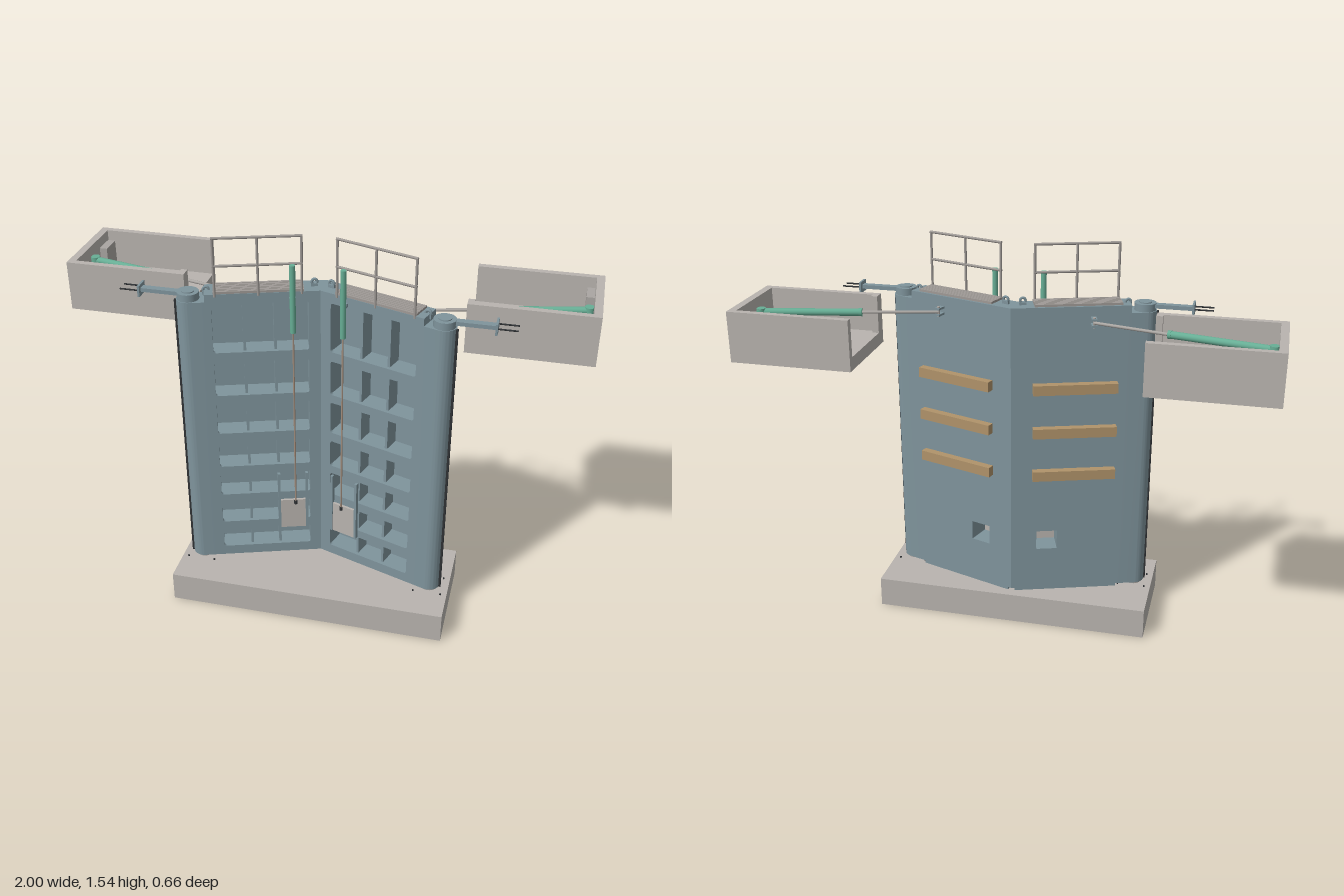
import * as THREE from 'three';
import { toCreasedNormals } from 'three/addons/utils/BufferGeometryUtils.js';

const mat = (name, color) => {
  const m = new THREE.MeshStandardMaterial({ color });
  m.name = name;
  return m;
};

export function createModel() {
  const concrete = mat('concrete', 0xb9b4af);
  const paint = mat('gatePaint', 0x7f949c);
  const green = mat('hydraulicGreen', 0x67ae95);
  const timber = mat('timber', 0xb0936a);
  const rubber = mat('rubber', 0x2f3235);
  const steel = mat('steel', 0xaaa6a2);
  const railing = mat('railingSteel', 0x9f9a96);
  const brass = mat('stemBronze', 0xa48f7e);

  const add = (parent, name, geo, m) => {
    const mesh = new THREE.Mesh(geo, m);
    mesh.name = name;
    parent.add(mesh);
    return mesh;
  };
  // box given by its limits
  const box = (p, name, m, x0, x1, y0, y1, z0, z1) => {
    const b = add(p, name, new THREE.BoxGeometry(x1 - x0, y1 - y0, z1 - z0), m);
    b.position.set((x0 + x1) / 2, (y0 + y1) / 2, (z0 + z1) / 2);
    return b;
  };
  // round bar between two points
  const bar = (p, name, m, a, b, r, seg = 16) => {
    const A = new THREE.Vector3(...a), B = new THREE.Vector3(...b);
    const c = add(p, name, new THREE.CylinderGeometry(r, r, A.distanceTo(B), seg), m);
    c.position.copy(A).lerp(B, 0.5);
    c.quaternion.setFromUnitVectors(new THREE.Vector3(0, 1, 0), B.sub(A).normalize());
    return c;
  };
  // plan shape (x, z) raised from y0 to y1
  const raise = (p, name, m, shape, y0, y1) => {
    const g = new THREE.ExtrudeGeometry(shape, { depth: y1 - y0, bevelEnabled: false, curveSegments: 20 });
    g.rotateX(Math.PI / 2);
    g.translate(0, y1, 0);
    return add(p, name, toCreasedNormals(g, 0.6), m);
  };
  const roundRect = (x0, x1, y0, y1, r) => {
    const s = new THREE.Path();
    s.absarc(x1 - r, y1 - r, r, 0, Math.PI / 2);
    s.absarc(x0 + r, y1 - r, r, Math.PI / 2, Math.PI);
    s.absarc(x0 + r, y0 + r, r, Math.PI, Math.PI * 1.5);
    s.absarc(x1 - r, y0 + r, r, Math.PI * 1.5, Math.PI * 2);
    s.closePath();
    return s;
  };
  // upright plate with holes, from z0 to z1
  const plate = (p, name, m, x0, x1, y0, y1, z0, z1, holes) => {
    const s = new THREE.Shape([[x0, y0], [x1, y0], [x1, y1], [x0, y1]].map(q => new THREE.Vector2(...q)));
    s.holes.push(...holes);
    const g = new THREE.ExtrudeGeometry(s, { depth: z1 - z0, bevelEnabled: false, curveSegments: 5 });
    g.translate(0, 0, z0);
    return add(p, name, g, m);
  };

  const angle = Math.atan(1 / 3), T = 0.045, BOT = 0.133, TOP = 1.32;
  const U0 = 0.057, U1 = 0.415, HEEL = 0.495;
  const rows = [[0.175, 0.265], [0.3, 0.395], [0.435, 0.535], [0.57, 0.685], [0.725, 0.86], [0.895, 1.04], [1.08, 1.28]];

  function buildLeaf() {
    const leaf = new THREE.Group();
    leaf.name = 'gateLeaf';
    // mitre post, cut on the centre plane
    const e = T * Math.tan(angle);
    const post = new THREE.Shape([[-e, -T], [U0, -T], [U0, T], [e, T]].map(q => new THREE.Vector2(...q)));
    raise(leaf, 'mitrePost', paint, post, BOT, TOP);
    // rounded heel post
    const heel = new THREE.Shape();
    heel.moveTo(U1, -T);
    heel.lineTo(HEEL, -T);
    heel.absarc(HEEL, 0, T, -Math.PI / 2, Math.PI / 2);
    heel.lineTo(U1, T);
    heel.closePath();
    raise(leaf, 'heelPost', paint, heel, BOT, 1.29);
    box(leaf, 'heelTop', paint, U1, 0.437, 1.29, TOP, -T, T);
    // skins and framing
    plate(leaf, 'backSkin', paint, U0, U1, BOT, TOP, -T, -T + 0.01, [roundRect(0.087, 0.17, 0.31, 0.39, 0.002)]);
    plate(leaf, 'frontFlange', paint, U0, U1, BOT, TOP, 0.033, T,
      rows.map(([a, b]) => roundRect(U0 + 0.001, U1 - 0.001, a, b, 0.01)));
    for (let i = 0; i <= rows.length; i++) {
      const a = i ? rows[i - 1][1] : BOT, b = i < rows.length ? rows[i][0] : TOP;
      box(leaf, 'girder', paint, U0, U1, a, b, -0.035, 0.033);
    }
    for (const u of [0.182, 0.297]) box(leaf, 'diaphragm', paint, u - 0.005, u + 0.005, BOT, 1.3, -0.035, 0.031);
    // bottom edge and its seal
    box(leaf, 'bottomEdge', paint, 0, U1, 0.122, BOT, -T, 0);
    box(leaf, 'bottomSeal', rubber, 0.005, U1, 0.122, BOT, 0, 0.012);
    // sluice culvert, gate, guides and lifting stem
    plate(leaf, 'sluiceCulvert', paint, 0.081, 0.176, 0.304, 0.396, -0.036, 0.046, [roundRect(0.087, 0.17, 0.31, 0.39, 0.002)]);
    box(leaf, 'sluiceGate', concrete, 0.077, 0.179, 0.265, 0.4, 0.046, 0.056);
    for (const u of [0.073, 0.183]) box(leaf, 'sluiceGuide', paint, u - 0.005, u + 0.005, 0.265, 0.53, T, 0.06);
    bar(leaf, 'stemLug', rubber, [0.118, 0.383, 0.058], [0.118, 0.398, 0.058], 0.007);
    bar(leaf, 'sluiceStem', brass, [0.118, 0.39, 0.058], [0.118, 1.18, 0.058], 0.0035, 10);
    bar(leaf, 'sluiceCylinder', green, [0.118, 1.16, 0.058], [0.118, 1.43, 0.058], 0.011);
    box(leaf, 'cylinderBracket', paint, 0.105, 0.131, 1.285, 1.3, T, 0.058);
    // timber fenders
    for (const y of [0.645, 0.825, 1.003]) box(leaf, 'fender', timber, 0.068, 0.392, y - 0.02, y + 0.02, -0.075, -T);
    // walkway grating
    for (let i = 0; i < 7; i++) {
      const w = -0.032 + i * 0.0118;
      box(leaf, 'gratingSlat', railing, 0.075, 0.405, TOP, 1.329, w - 0.0045, w + 0.0045);
    }
    for (const u of [0.078, 0.16, 0.24, 0.32, 0.402])
      box(leaf, 'gratingCrossbar', railing, u - 0.003, u + 0.003, TOP, 1.327, -0.036, 0.043);
    // handrail
    for (const u of [0.083, 0.241, 0.399]) bar(leaf, 'railPost', railing, [u, 1.31, 0.043], [u, 1.538, 0.043], 0.005, 10);
    for (const y of [1.43, 1.536]) bar(leaf, 'rail', railing, [0.079, y, 0.043], [0.403, y, 0.043], 0.005, 10);
    // lifting eyes
    for (const [u, y] of [[0.034, 1.337], [0.43, 1.322]]) {
      box(leaf, 'eyeFoot', paint, u - 0.013, u + 0.013, y - 0.02, y - 0.006, -0.006, 0.006);
      add(leaf, 'liftingEye', new THREE.TorusGeometry(0.01, 0.005, 8, 18), paint).position.set(u, y, 0);
    }
    // clevis for the operating ram
    for (const y of [1.253, 1.277]) box(leaf, 'clevis', paint, 0.283, 0.303, y - 0.004, y + 0.004, -0.08, -T);
    bar(leaf, 'clevisPin', steel, [0.293, 1.245, -0.07], [0.293, 1.285, -0.07], 0.006);
    leaf.position.z = -0.007;
    leaf.rotation.y = -angle;
    return leaf;
  }

  function buildHalf() {
    const half = new THREE.Group();
    half.add(buildLeaf());
    // heel seal, pintle and top anchorage
    box(half, 'heelSeal', rubber, 0.509, 0.52, BOT, 1.285, 0.154, 0.166);
    for (const x of [0.415, 0.525]) for (const z of [0.1, 0.2])
      bar(half, 'pintleBolt', rubber, [x, 0.12, z], [x, 0.127, z], 0.004, 6);
    bar(half, 'pintle', steel, [0.47, 0.12, 0.15], [0.47, 0.135, 0.15], 0.035, 24);
    bar(half, 'topCollar', paint, [0.47, 1.288, 0.15], [0.47, 1.318, 0.15], 0.041, 32);
    bar(half, 'topPin', paint, [0.47, 1.318, 0.15], [0.47, 1.322, 0.15], 0.024, 24);
    box(half, 'anchorArm', paint, 0.5, 0.648, 1.3, 1.315, 0.135, 0.162);
    box(half, 'anchorPlate', paint, 0.647, 0.655, 1.285, 1.328, 0.12, 0.177);
    for (const z of [0.128, 0.169]) bar(half, 'anchorRod', rubber, [0.655, 1.308, z], [0.725, 1.308, z], 0.003, 10);
    // open machinery pit, slotted on the gate side
    const pit = new THREE.Group();
    pit.name = 'machineryPit';
    box(pit, 'pitFloor', concrete, 0.53, 1, 1.125, 1.175, -0.33, 0.025);
    box(pit, 'pitBackWall', concrete, 0.53, 1, 1.175, TOP, -0.33, -0.305);
    box(pit, 'pitFrontWall', concrete, 0.53, 1, 1.175, TOP, 0, 0.025);
    box(pit, 'pitEndWall', concrete, 0.97, 1, 1.175, TOP, -0.305, 0);
    box(pit, 'pitGateWall', concrete, 0.53, 0.555, 1.175, TOP, -0.02, 0);
    box(pit, 'controlBox', steel, 0.94, 0.97, 1.175, 1.28, -0.3, -0.215);
    box(pit, 'ramPedestal', paint, 0.925, 0.97, 1.175, 1.25, -0.16, -0.112);
    half.add(pit);
    // operating ram from pit to leaf
    const y = 1.265, a = [0.955, y, -0.137], b = [0.58, y, -0.054], c = [0.3, y, 0.017];
    bar(half, 'ramPivot', green, [a[0], 1.248, a[2]], [a[0], 1.28, a[2]], 0.018, 20);
    bar(half, 'ramCylinder', green, a, b, 0.014, 20);
    bar(half, 'ramGland', green, [0.592, y, -0.0567], b, 0.0155, 20);
    bar(half, 'ramRod', steel, b, c, 0.006, 14);
    return half;
  }

  const model = new THREE.Group();
  model.name = 'lockGate';
  box(model, 'sillSlab', concrete, -0.55, 0.55, 0, 0.122, -0.09, 0.33);
  const left = buildHalf();
  left.name = 'leftHalf';
  const right = buildHalf();
  right.name = 'rightHalf';
  right.scale.x = -1;
  model.add(left, right);
  return model;
}
